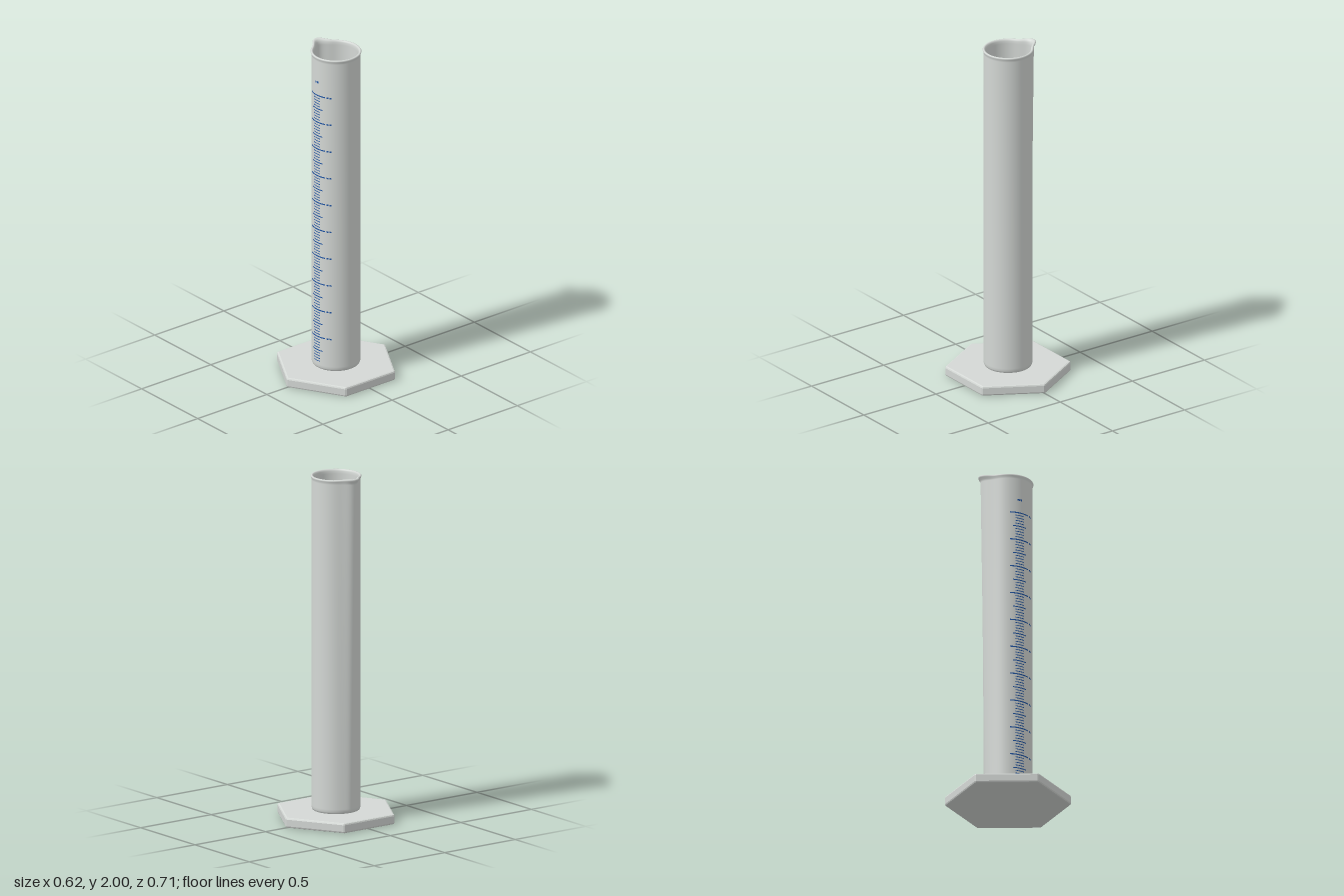
import * as THREE from 'three';

const clear = new THREE.MeshStandardMaterial({ color: 0xd4d8d5 });
clear.name = 'pale grey plastic';
const ink = new THREE.MeshStandardMaterial({ color: 0x1f55a5 });
ink.name = 'blue ink';

// Skin a stack of closed rings, each an array of [x, y, z].
function loft(rings, flat) {
  const n = rings[0].length;
  const index = [];
  for (let i = 0; i < rings.length - 1; i++) {
    for (let j = 0; j < n; j++) {
      const a = i * n + j, b = i * n + (j + 1) % n;
      index.push(a, b, a + n, b, b + n, a + n);
    }
  }
  let geo = new THREE.BufferGeometry();
  geo.setAttribute('position', new THREE.Float32BufferAttribute(rings.flat(2), 3));
  geo.setIndex(index);
  if (flat) geo = geo.toNonIndexed();
  geo.computeVertexNormals();
  return geo;
}

function add(parent, name, geo, material) {
  const mesh = new THREE.Mesh(geo, material);
  mesh.name = name;
  parent.add(mesh);
  return mesh;
}

// Hexagonal foot: every side is pushed outward, leaving small cut corners.
function footGeometry() {
  const R = 0.345;
  const rows = [[0, 0, 0], [0, 0, 1], [0.003, 0.007, 1], [0.01, 0.01, 1],
    [0.048, 0.01, 1], [0.055, 0.007, 1], [0.058, 0, 1], [0.058, 0, 0]];
  return loft(rows.map(([y, out, scale]) => {
    const ring = [];
    for (let k = 0; k < 6; k++) {
      const mid = Math.PI / 2 + (k + 0.5) * Math.PI / 3;
      for (const side of [-1, 1]) {
        const t = mid + side * Math.PI / 6;
        ring.push([-(R * Math.cos(t) + out * Math.cos(mid)) * scale, y,
          (R * Math.sin(t) + out * Math.sin(mid)) * scale]);
      }
    }
    return ring;
  }), true);
}

// Hollow tube: rows are [y, radius, spout reach, spout lift], outside then inside.
function tubeGeometry() {
  const rows = [
    [0.055, 0, 0, 0], [0.055, 0.126, 0, 0], [0.06, 0.133, 0, 0], [0.07, 0.137, 0, 0],
    [0.085, 0.138, 0, 0], [1.965, 0.138, 0.033, 0],
    [1.974, 0.139, 0.036, 0.003], [1.981, 0.142, 0.042, 0.007], [1.986, 0.143, 0.044, 0.009],
    [1.99, 0.14, 0.043, 0.01], [1.991, 0.135, 0.04, 0.009], [1.988, 0.13, 0.035, 0.007],
    [1.98, 0.127, 0.032, 0.003], [1.965, 0.126, 0.03, 0],
    [0.1, 0.126, 0, 0], [0.088, 0.122, 0, 0], [0.08, 0.112, 0, 0],
    [0.078, 0.1, 0, 0], [0.078, 0, 0, 0]];
  const n = 96;
  return loft(rows.map(([y, r, reach, lift]) => {
    const ring = [];
    for (let j = 0; j < n; j++) {
      const t = j / n * Math.PI * 2;
      const phi = Math.min(t, Math.PI * 2 - t);
      const f = Math.exp(-((phi / 0.3) ** 2));
      const wide = Math.exp(-((phi / 0.45) ** 2));
      const rr = r + reach * f;
      ring.push([-Math.cos(t) * rr, y + lift * wide, Math.sin(t) * rr]);
    }
    return ring;
  }), false);
}

// Printed strip curved around the front of the tube, from x0 to x1.
function printStrip(parent, name, x0, x1, y, height) {
  const r = 0.1392;
  const a = Math.asin(x0 / r), b = Math.asin(x1 / r);
  const segs = Math.max(2, Math.ceil((b - a) / 0.065));
  const geo = new THREE.CylinderGeometry(r, r, height, segs, 1, true, a, b - a);
  add(parent, name, geo, ink).position.y = y;
}

export function createModel() {
  const model = new THREE.Group();
  model.name = 'graduatedCylinder';
  add(model, 'hexagonalFoot', footGeometry(), clear);
  add(model, 'spoutedTube', tubeGeometry(), clear);

  // Graduation marks: long every ten, medium every five
  const scale = new THREE.Group();
  scale.name = 'graduationScale';
  model.add(scale);
  const step = 0.01665;
  for (let i = 1; i <= 100; i++) {
    const y = 0.09 + i * step;
    const ten = i % 10 === 0, five = i % 5 === 0;
    const half = ten ? 0.058 : five ? 0.042 : 0.027;
    printStrip(scale, ten ? 'longMark' : five ? 'mediumMark' : 'shortMark',
      -half, half, y, ten ? 0.007 : five ? 0.006 : 0.0045);
    // Plain dashes beside the long marks
    if (ten) {
      printStrip(scale, 'sideDash', 0.066, 0.076, y, 0.009);
      printStrip(scale, 'sideDash', 0.081, 0.091, y, 0.009);
    }
  }
  // Small plain dashes above the scale
  printStrip(scale, 'topDash', -0.014, -0.001, 1.835, 0.01);
  printStrip(scale, 'topDash', 0.004, 0.013, 1.836, 0.012);
  return model;
}
